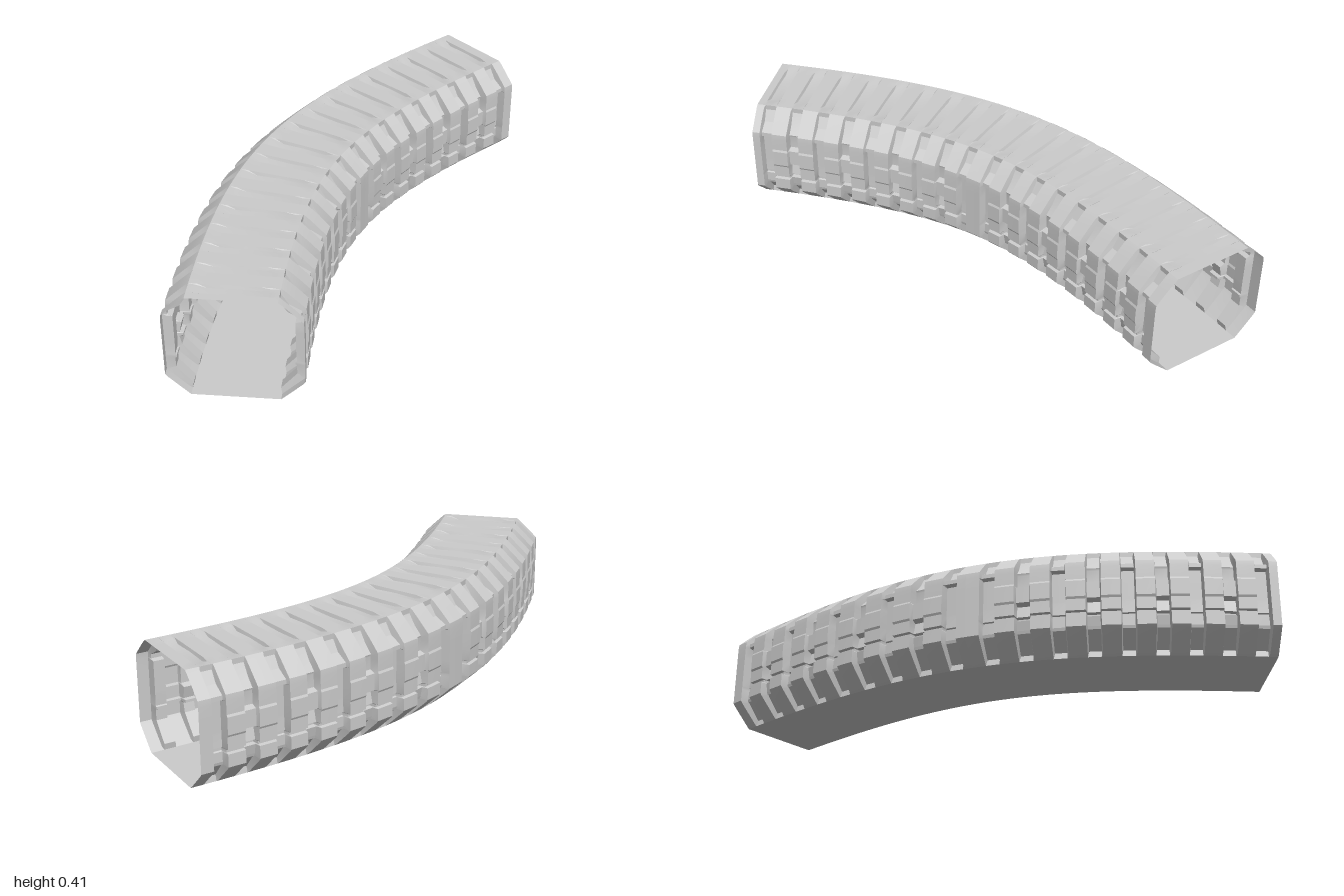
import * as THREE from 'three';
import { toCreasedNormals } from 'three/addons/utils/BufferGeometryUtils.js';

const material = new THREE.MeshStandardMaterial({ color: 0xcccccc, side: THREE.DoubleSide });

// Centre line on the ground, from the right-hand (+x) mouth to the left-hand one
const path = new THREE.CubicBezierCurve3(
  new THREE.Vector3(1, 0, -0.34), new THREE.Vector3(0.12, 0, -0.34),
  new THREE.Vector3(-0.21, 0, -0.21), new THREE.Vector3(-0.83, 0, 0.41));
const LENGTH = path.getLength();

// Half section from floor edge to roof centre:
// [offset, height, inward offset, inward height, rib depth, plain valley depth, clamped valley depth]
const half = [
  [0.155, 0.005, 0, 0, 0, 0, 0],
  [0.165, 0.014, 0.7, -0.7, 0, 0.02, 0.02],
  [0.232, 0.078, 0.7, -0.7, 0, 0.03, 0.03],
  [0.24, 0.088, 1, 0, 0, 0.032, 0.032],
  [0.24, 0.134, 1, 0, 0, 0.032, 0.022],
  [0.24, 0.137, 1, 0, 0.012, 0.038, 0.038],
  [0.24, 0.147, 1, 0, 0.012, 0.038, 0.038],
  [0.24, 0.15, 1, 0, 0, 0.032, 0.024],
  [0.24, 0.195, 1, 0, 0, 0.034, 0.034],
  [0.24, 0.203, 1, 0, -0.004, 0.034, 0.012],
  [0.24, 0.265, 1, 0, -0.004, 0.034, 0.012],
  [0.24, 0.273, 1, 0, 0, 0.034, 0.034],
  [0.24, 0.315, 1, 0, 0, 0.034, 0.034],
  [0.24, 0.32, 1, 0, 0, 0.016, 0.034],
  [0.238, 0.342, 0.9, 0.4, 0, 0.016, 0.032],
  [0.2, 0.38, 0.7, 0.7, 0, 0.028, 0.028],
  [0.166, 0.412, 0.7, 0.7, 0, 0.016, 0.016],
  [0.155, 0.42, 0, 1, 0, 0, 0],
  [0.125, 0.42, 0, 1, 0, 0.003, 0.003],
  [0.09, 0.42, 0, 1, 0, 0.013, 0.01],
  [0, 0.42, 0, 1, 0, 0.01, 0.013],
];
const mirrored = half.slice(0, -1).reverse().map(([u, y, nu, ...rest]) => [-u, y, -nu, ...rest]);
const shellProfile = [...half, ...mirrored];
const floorProfile = [half[0], mirrored[mirrored.length - 1]].reverse();

// Places a section point at distance s along the path; kind picks its depth column
function place(s, kind, [u, y, nu, ny, ...depth]) {
  const f = Math.min(1, Math.max(0, s / LENGTH));
  const p = path.getPointAt(f), t = path.getTangentAt(f);
  const d = kind < 0 ? 0 : depth[kind];
  const w = u - nu * d;
  return [p.x - t.z * w, y - ny * d, p.z + t.x * w];
}

// Joins the sections at all stations into one open sheet
function loft(name, profile, stations) {
  const positions = [], index = [], n = profile.length;
  stations.forEach(([s, kind], i) => {
    profile.forEach((point, j) => {
      positions.push(...place(s, kind, point));
      if (i && j) {
        const a = (i - 1) * n + j - 1, c = a + n;
        index.push(a, c, c + 1, a, c + 1, a + 1);
      }
    });
  });
  const geometry = new THREE.BufferGeometry();
  geometry.setAttribute('position', new THREE.Float32BufferAttribute(positions, 3));
  geometry.setIndex(index);
  const mesh = new THREE.Mesh(toCreasedNormals(geometry, 0.45), material);
  mesh.name = name;
  return mesh;
}

// Stations of one section: smooth collar, eight ribs between valleys, narrow collar
function ribStations(start, length) {
  const collar = 0.045, endCollar = 0.03, ribs = 8, valley = 0.05, bevel = 0.004;
  const pitch = (length - collar - endCollar - valley) / ribs;
  const stations = [[start, -1], [start + collar, -1]];
  for (let i = 0; i <= ribs; i++) {
    const s = start + collar + i * pitch, kind = 1 + (i % 2);
    stations.push([s + bevel, kind], [s + valley / 2, kind], [s + valley - bevel, kind]);
    if (i < ribs) stations.push([s + valley, 0], [s + (valley + pitch) / 2, 0], [s + pitch, 0]);
  }
  stations.push([start + length - endCollar, -1], [start + length, -1]);
  return stations;
}

export function createModel() {
  const model = new THREE.Group();
  model.name = 'curvedTunnel';
  ['right', 'left'].forEach((side, i) => {
    const section = new THREE.Group();
    section.name = i ? 'farSection' : 'nearSection';
    const stations = ribStations(i * LENGTH / 2, LENGTH / 2);
    section.add(loft('ribbedShell', shellProfile, stations), loft('floor', floorProfile, stations));
    model.add(section);
  });
  return model;
}
